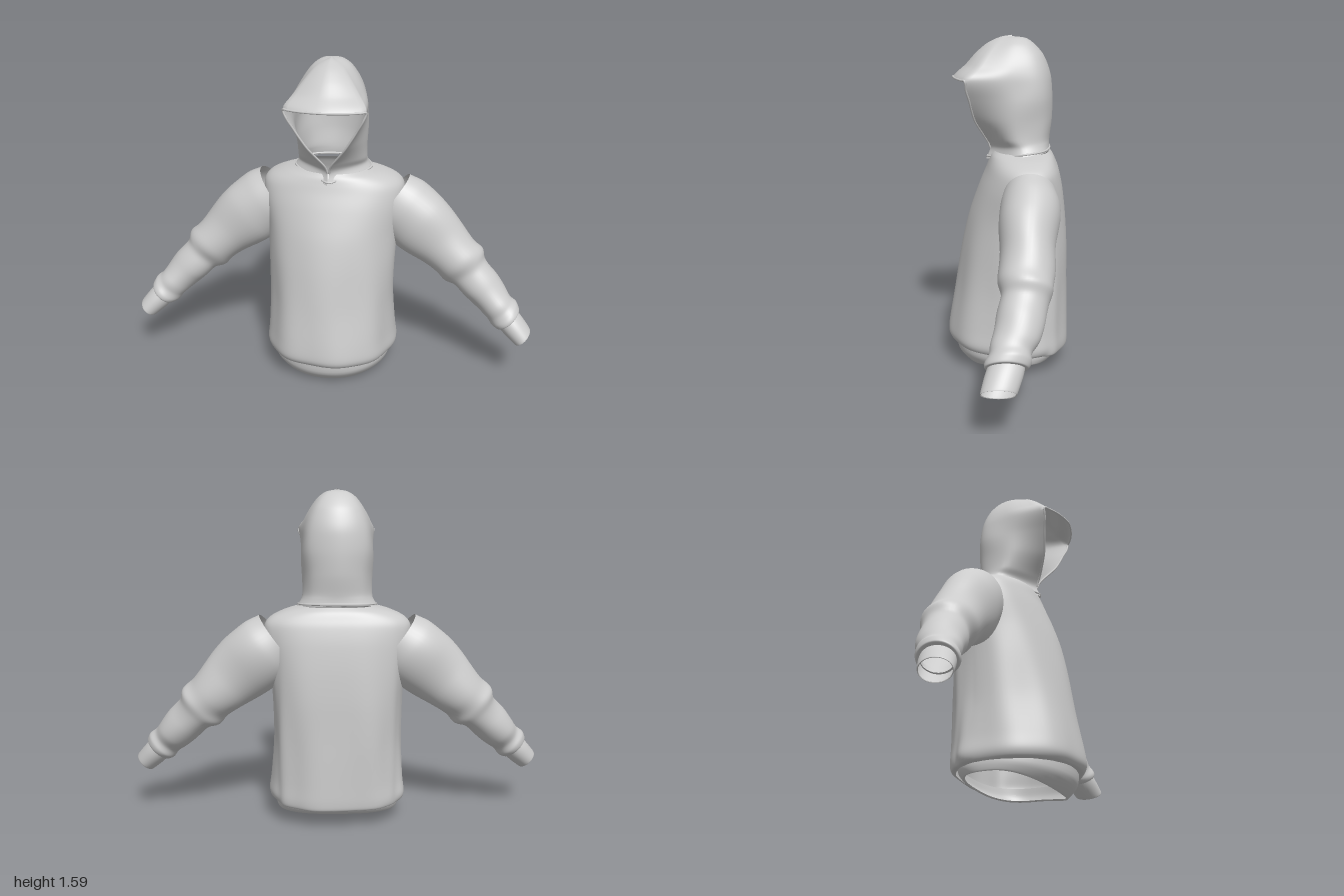
import * as THREE from 'three';

const V = (x, y, z) => new THREE.Vector3(x, y, z);
const material = new THREE.MeshStandardMaterial({ color: 0xcccccc, side: THREE.DoubleSide });

// Smooth skin through closed rings of points; steps = rows per ring gap.
// tweak(point, u, v) may move points, keep(row, col) may leave faces out.
function loft(name, rings, steps, tweak, keep = () => true) {
  const cols = rings[0].length, rows = (rings.length - 1) * steps;
  const position = new Float32Array((rows + 1) * cols * 3), index = [];
  for (let c = 0; c < cols; c++) {
    const curve = new THREE.CatmullRomCurve3(rings.map((r) => r[c]), false, 'catmullrom', 0.45);
    for (let r = 0; r <= rows; r++) {
      const p = curve.getPoint(r / rows);
      if (tweak) tweak(p, c / cols, r / rows);
      p.toArray(position, (r * cols + c) * 3);
      if (r === rows || !keep(r, c)) continue;
      const d = (c + 1) % cols, a = r * cols + c, b = r * cols + d;
      index.push(a, b, b + cols, a, b + cols, a + cols);
    }
  }
  const g = new THREE.BufferGeometry();
  g.setAttribute('position', new THREE.BufferAttribute(position, 3));
  g.setIndex(index);
  g.computeVertexNormals();
  const mesh = new THREE.Mesh(g, material);
  mesh.name = name;
  return mesh;
}

// Horizontal body ring: round front, squarer back; y may depend on the angle
function bodyRing(y, w, zFront, zBack, zMid, backPower = 2.7) {
  return Array.from({ length: 96 }, (_, i) => {
    const a = (i / 96) * Math.PI * 2, s = Math.sin(a), c = Math.cos(a);
    const e = 2 / (c > 0 ? 2.1 : backPower);
    const x = Math.sign(s) * Math.abs(s) ** e * w;
    const z = zMid + Math.abs(c) ** e * ((c > 0 ? zFront : zBack) - zMid);
    return V(x, typeof y === 'function' ? y(c) : y, z);
  });
}

function torso() {
  const rings = [
    [0.095, 0.30, 0.255, -0.265, -0.04], [0.105, 0.32, 0.28, -0.285, -0.04],
    [0.14, 0.33, 0.295, -0.29, -0.04], [0.22, 0.322, 0.287, -0.29, -0.04],
    [0.4, 0.312, 0.255, -0.29, -0.05], [0.6, 0.315, 0.22, -0.288, -0.06],
    [0.75, 0.325, 0.185, -0.278, -0.08], [0.88, 0.345, 0.14, -0.262, -0.09],
    [0.96, 0.345, 0.107, -0.245, -0.1], [1.0, 0.315, 0.092, -0.23, -0.1],
    [1.03, 0.25, 0.08, -0.215, -0.09], [1.05, 0.17, 0.065, -0.195, -0.07],
  ].map((r) => bodyRing(...r));
  // Hanging folds, strongest low down, and a hem that dips at the back
  return loft('torso', rings, 6, (p, u) => {
    const a = u * Math.PI * 2;
    const low = THREE.MathUtils.clamp((1 - p.y) / 0.6, 0, 1);
    const f = 1 + low * (0.012 * Math.sin(9 * a + 3 * p.y) + 0.01 * Math.sin(5 * a - 7 * p.y)
      - 0.03 * Math.exp(-(((Math.abs(p.x) - 0.29) / 0.02) ** 2)) * (p.z < -0.1 ? 1 : 0));
    p.x *= f;
    p.z *= f;
    p.y += 0.015 * Math.cos(a) * Math.max(0, 1 - p.y / 0.35);
  });
}

function hemBand() {
  return loft('hemBand', [
    bodyRing(0.125, 0.3, 0.26, -0.26, -0.04),
    bodyRing((c) => 0.085 - 0.03 * Math.max(0, c) ** 2, 0.302, 0.25, -0.25, -0.04),
    bodyRing((c) => 0.055 - 0.055 * Math.max(0, c) ** 2, 0.295, 0.2, -0.225, -0.04),
    bodyRing((c) => 0.06 - 0.055 * Math.max(0, c) ** 2, 0.285, 0.192, -0.217, -0.04),
  ], 4);
}

// Rings square to the arm: [x, y, z, radius up, radius in z]
function armRings(list, n = 40) {
  return list.map(([x, y, z, r, rz], i) => {
    const p = list[Math.max(0, i - 1)], q = list[Math.min(list.length - 1, i + 1)];
    const t = V(q[0] - p[0], q[1] - p[1], 0).normalize();
    return Array.from({ length: n }, (_, k) => {
      const a = (k / n) * Math.PI * 2, c = Math.cos(a) * r;
      return V(x - t.y * c, y + t.x * c, z + Math.sin(a) * rz);
    });
  });
}

function sleeve(side) {
  const arm = new THREE.Group();
  arm.name = side > 0 ? 'leftArm' : 'rightArm';
  const path = [
    [0.28, 0.885, -0.1, 0.15, 0.12], [0.34, 0.84, -0.1, 0.165, 0.135], [0.42, 0.775, -0.095, 0.165, 0.135],
    [0.52, 0.69, -0.085, 0.142, 0.122], [0.61, 0.605, -0.08, 0.128, 0.118], [0.655, 0.56, -0.08, 0.12, 0.115],
    [0.69, 0.525, -0.07, 0.1, 0.105], [0.75, 0.465, -0.055, 0.094, 0.104], [0.81, 0.4, -0.03, 0.086, 0.097],
    [0.845, 0.365, -0.015, 0.076, 0.088], [0.87, 0.34, -0.003, 0.082, 0.095], [0.888, 0.322, 0.003, 0.074, 0.088],
    [0.89, 0.32, 0.004, 0.056, 0.072],
  ];
  const centre = new THREE.CatmullRomCurve3(path.map((p) => V(p[0], p[1], p[2])), false, 'catmullrom', 0.45);
  // Slanting creases across the sleeve, easing off at both ends
  arm.add(loft('sleeve', armRings(path), 7, (p, u, v) => {
    const a = u * Math.PI * 2, ease = Math.sin(Math.PI * v);
    const f = 1 + ease * (0.035 * Math.sin(34 * v + 2.2 * Math.sin(a)) + 0.025 * Math.sin(21 * v - 3 * Math.cos(a) + 1));
    const o = centre.getPoint(v);
    p.sub(o).multiplyScalar(f).add(o);
  }));
  // Cuff with a turned-in lip
  arm.add(loft('cuff', armRings([
    [0.865, 0.34, -0.003, 0.058, 0.074], [0.91, 0.295, 0.014, 0.06, 0.078],
    [0.96, 0.245, 0.034, 0.053, 0.074], [0.962, 0.243, 0.035, 0.048, 0.069],
  ]), 4));
  arm.scale.x = side;
  return arm;
}

const FRONT = 7, SIDE = 48, STEPS = 8, BRIM = 5;

// Hood ring: front centre, out to the opening corner, round the back, mirrored
function hoodRing([y, zF, cx, cz, w, wz, zB, rise = 0]) {
  const pts = [];
  const lip = new THREE.QuadraticBezierCurve3(V(0, y + 0.006, zF), V(cx * 0.6, y + 0.004, zF * 0.85 + cz * 0.15), V(cx, y, cz));
  for (let i = 0; i < FRONT; i++) pts.push(lip.getPoint(i / FRONT));
  const half = [V(cx, y, cz), V(w, y + rise * 0.7, wz), V(w * 0.75, y + rise * 0.9, wz + 0.76 * (zB - wz))];
  const mirror = half.map((p) => V(-p.x, p.y, p.z)).reverse();
  const shell = new THREE.CatmullRomCurve3([...half, V(0, y + rise, zB), ...mirror]);
  for (let i = 0; i <= SIDE; i++) pts.push(shell.getPoint(i / SIDE));
  for (let i = FRONT - 1; i > 0; i--) pts.push(V(-pts[i].x, pts[i].y, pts[i].z));
  return pts;
}

function hood() {
  const group = new THREE.Group();
  group.name = 'hood';
  // y, front z, corner x, corner z, half width, its z, back z, rise to the back
  const keys = [
    [1.005, 0.1, 0.004, 0.105, 0.19, -0.06, -0.2, 0.055],
    [1.06, 0.1, 0.004, 0.085, 0.168, -0.055, -0.198, 0.03],
    [1.11, 0.2, 0.02, 0.108, 0.165, -0.03, -0.2, 0.01],
    [1.2, 0.27, 0.085, 0.155, 0.167, -0.02, -0.21],
    [1.3, 0.3, 0.145, 0.178, 0.172, -0.02, -0.212],
    [1.393, 0.26, 0.187, 0.195, 0.172, 0, -0.205],
    [1.45, 0.2, 0.15, 0.14, 0.153, -0.02, -0.19],
    [1.505, 0.15, 0.108, 0.1, 0.124, -0.025, -0.165],
    [1.55, 0.095, 0.07, 0.06, 0.09, -0.03, -0.125],
    [1.577, 0.035, 0.032, 0.02, 0.05, -0.03, -0.085],
    [1.586, -0.018, 0.002, -0.019, 0.002, -0.02, -0.023],
  ];
  const shell = loft('hoodShell', keys.map(hoodRing), STEPS, (p, u) => {
    // Soft slanting drape on the side panels
    const k = Math.sin(Math.PI * THREE.MathUtils.clamp((p.y - 1.05) / 0.45, 0, 1));
    p.x *= 1 + 0.03 * k * Math.sin(22 * p.y + 16 * p.z) * Math.sin(Math.PI * u) ** 2;
  }, (r, c) => r >= BRIM * STEPS || (c >= FRONT && c < FRONT + SIDE));
  group.add(shell);

  // Rolled edge following the face opening, and the neck seam
  const pos = shell.geometry.attributes.position, cols = 2 * FRONT + SIDE;
  const at = (r, c) => new THREE.Vector3().fromBufferAttribute(pos, r * cols + (c % cols));
  const edge = [], seam = [];
  for (let r = STEPS; r <= BRIM * STEPS; r += 4) edge.push(at(r, FRONT));
  for (let c = FRONT - 1; c > -FRONT; c--) edge.push(at(BRIM * STEPS, c + cols));
  for (let r = BRIM * STEPS; r >= STEPS; r -= 4) edge.push(at(r, FRONT + SIDE));
  for (let c = FRONT; c < FRONT + SIDE; c += 2) seam.push(at(2, c));
  const tube = (name, pts, closed, radius) => {
    const mesh = new THREE.Mesh(new THREE.TubeGeometry(new THREE.CatmullRomCurve3(pts, closed), 120, radius, 8, closed), material);
    mesh.name = name;
    group.add(mesh);
  };
  tube('openingEdge', edge, false, 0.005);
  tube('neckSeam', seam, true, 0.005);
  return group;
}

export function createModel() {
  const model = new THREE.Group();
  model.name = 'hoodedSweatshirt';
  model.add(torso(), hemBand(), sleeve(1), sleeve(-1), hood());
  return model;
}
